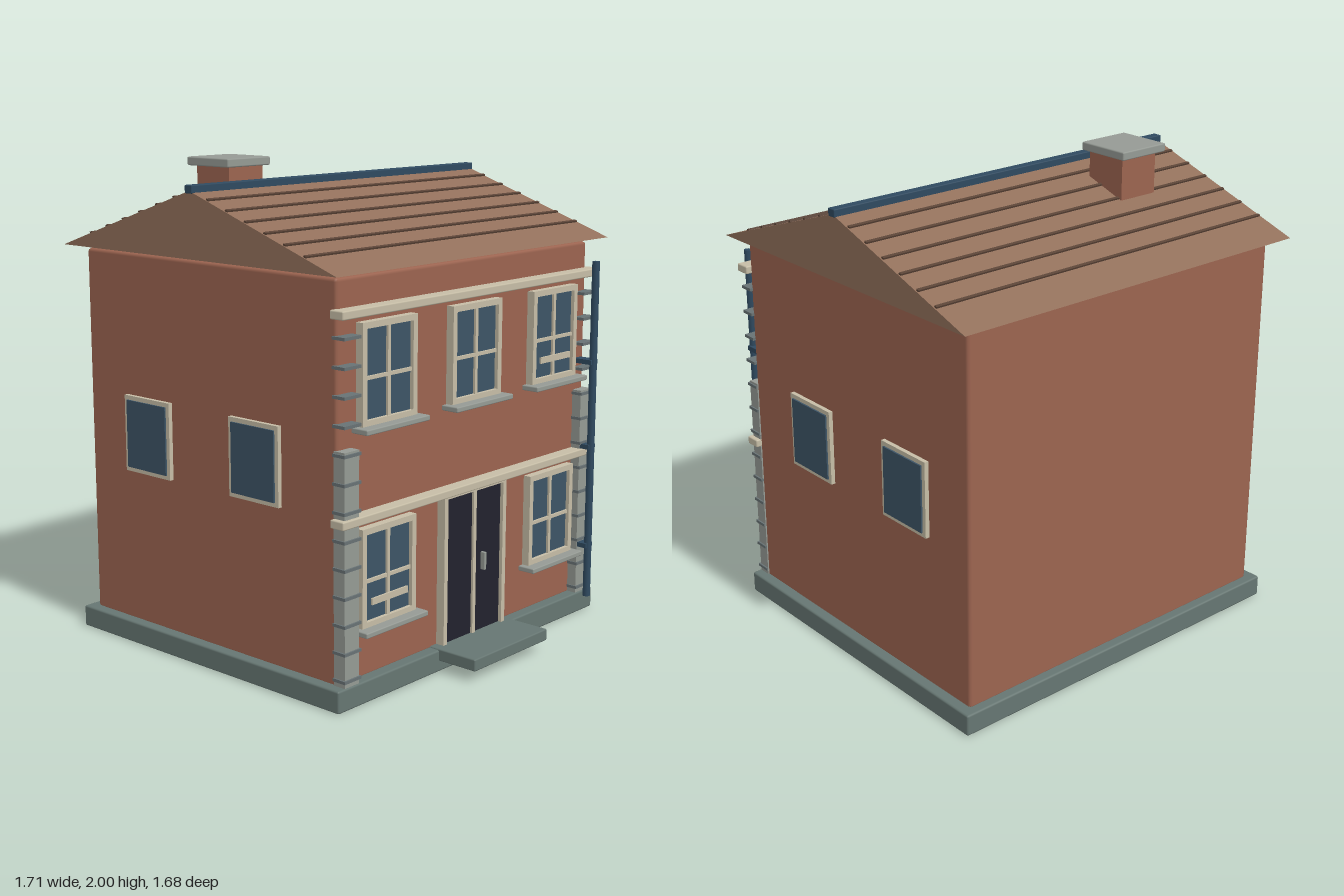
import * as THREE from 'three';
import { RoundedBoxGeometry } from 'three/addons/geometries/RoundedBoxGeometry.js';

const mat = (name, color) => {
  const m = new THREE.MeshStandardMaterial({ color });
  m.name = name;
  return m;
};

export function createModel() {
  const M = {
    brick: mat('brick', 0x9c6450),
    roof: mat('roof tile', 0x92705b),
    batten: mat('dark tile edge', 0x5a4336),
    metal: mat('blue metal', 0x2f4a60),
    trim: mat('cream trim', 0xc6bda6),
    glass: mat('window glass', 0x3d5466),
    door: mat('door', 0x22222d),
    plinth: mat('plinth stone', 0x667672),
    stone: mat('light stone', 0x959a94),
    joint: mat('grey joint', 0x687274),
  };
  const house = new THREE.Group();
  house.name = 'townHouse';

  const add = (parent, name, geometry, material) => {
    const mesh = new THREE.Mesh(geometry, material);
    mesh.name = name;
    parent.add(mesh);
    return mesh;
  };
  // Box given by its limits; a bevel gives chamfered edges
  const box = (parent, name, material, [x0, x1], [y0, y1], [z0, z1], bevel = 0) => {
    const size = [x1 - x0, y1 - y0, z1 - z0];
    const g = bevel ? new RoundedBoxGeometry(...size, 1, bevel) : new THREE.BoxGeometry(...size);
    g.translate((x0 + x1) / 2, (y0 + y1) / 2, (z0 + z1) / 2);
    return add(parent, name, g, material);
  };
  const group = (name, parent = house) => {
    const g = new THREE.Group();
    g.name = name;
    parent.add(g);
    return g;
  };
  // Rectangular frame with a hole, its back on z = 0
  const frame = (parent, name, w, h, border, depth) => {
    const s = new THREE.Shape([[-w, -h], [w, -h], [w, h], [-w, h]].map(([x, y]) => new THREE.Vector2(x / 2, y / 2)));
    const a = w / 2 - border, b = h / 2 - border;
    s.holes.push(new THREE.Path([[-a, -b], [-a, b], [a, b], [a, -b]].map(([x, y]) => new THREE.Vector2(x, y))));
    return add(parent, name, new THREE.ExtrudeGeometry(s, { depth, bevelEnabled: false }), M.trim);
  };

  // Plinth, step and walls
  box(house, 'plinth', M.plinth, [-0.83, 0.83], [0, 0.09], [-0.815, 0.66], 0.008);
  box(house, 'doorStep', M.plinth, [-0.24, 0.24], [0.045, 0.095], [0.6, 0.84], 0.006);
  box(house, 'walls', M.brick, [-0.785, 0.785], [0.08, 1.625], [-0.775, 0.612], 0.014);

  // Gabled roof
  const ridgeZ = -0.08, ridgeY = 1.9, eaveY = 1.64, frontZ = 0.675, backZ = -0.84;
  const gable = new THREE.Shape();
  gable.moveTo(-frontZ, eaveY);
  gable.lineTo(-backZ, eaveY);
  gable.lineTo(-ridgeZ, ridgeY);
  gable.closePath();
  const roofGeo = new THREE.ExtrudeGeometry(gable, { depth: 1.7, bevelEnabled: false });
  roofGeo.rotateY(Math.PI / 2).translate(-0.85, 0, 0);
  add(house, 'roof', roofGeo, M.roof);
  box(house, 'ridgeCap', M.metal, [-0.855, 0.855], [1.89, 1.922], [ridgeZ - 0.02, ridgeZ + 0.02], 0.004);

  // Tile course lines on both slopes
  const courses = group('tileCourses');
  for (const side of [1, -1]) {
    const run = side > 0 ? frontZ - ridgeZ : ridgeZ - backZ;
    const slope = (ridgeY - eaveY) / run;
    for (let i = 0; i < 6; i++) {
      const d = 0.093 + i * 0.1;
      const strip = add(courses, 'tileCourse', new THREE.BoxGeometry(1.69, 0.012, 0.012), M.batten);
      strip.position.set(0, ridgeY - d * slope + 0.001, ridgeZ + side * d);
      strip.rotation.x = side * Math.atan(slope);
    }
  }

  // Chimney
  const chimney = group('chimney');
  box(chimney, 'chimneyStack', M.brick, [-0.52, -0.335], [1.6, 1.97], [-0.39, -0.205]);
  box(chimney, 'chimneyCap', M.stone, [-0.547, -0.31], [1.965, 2], [-0.42, -0.183], 0.006);

  // String courses across the front
  for (const y of [0.705, 1.48]) {
    box(house, 'stringCourse', M.trim, [-0.81, 0.81], [y, y + 0.034], [0.6, 0.667], 0.006);
  }

  // Front windows
  const frontWindow = (x, y, plateY) => {
    const w = group('frontWindow');
    w.position.set(x, y, 0.61);
    frame(w, 'windowFrame', 0.31, 0.39, 0.024, 0.036);
    box(w, 'windowPane', M.glass, [-0.135, 0.135], [-0.18, 0.18], [0, 0.02]);
    box(w, 'mullion', M.trim, [-0.008, 0.008], [-0.175, 0.175], [0.015, 0.03]);
    box(w, 'transom', M.trim, [-0.135, 0.135], [-0.021, -0.007], [0.015, 0.029]);
    box(w, 'windowSill', M.stone, [-0.18, 0.18], [-0.214, -0.192], [0, 0.08], 0.005);
    if (plateY) box(w, 'windowPlate', M.trim, [-0.103, 0.103], [plateY - 0.013, plateY + 0.013], [0.032, 0.04]);
  };
  frontWindow(-0.525, 1.26);
  frontWindow(0, 1.26);
  frontWindow(0.525, 1.26, -0.097);
  frontWindow(-0.525, 0.483, -0.095);
  frontWindow(0.525, 0.483);

  // Side windows, two on each side wall
  for (const side of [1, -1]) {
    for (const z of [0.197, -0.41]) {
      const w = group('sideWindow');
      w.position.set(side * 0.783, 0.887, z);
      w.rotation.y = side * Math.PI / 2;
      frame(w, 'sideWindowFrame', 0.266, 0.316, 0.02, 0.02);
      box(w, 'sideWindowPane', M.glass, [-0.115, 0.115], [-0.14, 0.14], [0, 0.027]);
    }
  }

  // Double door
  const entrance = group('entrance');
  for (const side of [1, -1]) {
    const xs = (a, b) => [Math.min(side * a, side * b), Math.max(side * a, side * b)];
    box(entrance, 'doorLeaf', M.door, xs(0.008, 0.18), [0.09, 0.695], [0.6, 0.635]);
    box(entrance, 'doorJamb', M.trim, xs(0.178, 0.2), [0.09, 0.71], [0.6, 0.65]);
  }
  box(entrance, 'doorHead', M.trim, [-0.2, 0.2], [0.694, 0.712], [0.6, 0.65]);
  box(entrance, 'doorMeetingRail', M.trim, [-0.009, 0.009], [0.09, 0.695], [0.6, 0.645]);
  box(entrance, 'doorHandle', M.stone, [0.053, 0.067], [0.35, 0.425], [0.63, 0.655], 0.003);

  // Corner stones with joint lines
  for (const side of [1, -1]) {
    const corner = group('cornerStones');
    const xs = (a, b) => (side > 0 ? [a, b] : [-b, -a]);
    box(corner, 'cornerStone', M.stone, xs(0.71, 0.79), [0.09, 0.705], [0.6, 0.655]);
    box(corner, 'cornerStone', M.stone, xs(0.71, 0.79), [0.739, 0.993], [0.6, 0.655]);
    for (let i = 0; i < 13; i++) {
      const y = 0.115 + i * 0.108;
      box(corner, 'cornerJoint', M.joint, xs(0.705, 0.797), [y - 0.006, y + 0.006], [0.6, 0.662]);
    }
  }

  // Drainpipe with brackets
  const drain = group('drainpipe');
  const pipe = add(drain, 'pipe', new THREE.CylinderGeometry(0.016, 0.016, 1.47, 10), M.metal);
  pipe.position.set(0.738, 0.815, 0.695);
  for (const y of [0.31, 0.75, 1.12]) {
    box(drain, 'pipeBracket', M.metal, [0.714, 0.762], [y - 0.01, y + 0.01], [0.61, 0.7]);
  }
  return house;
}
